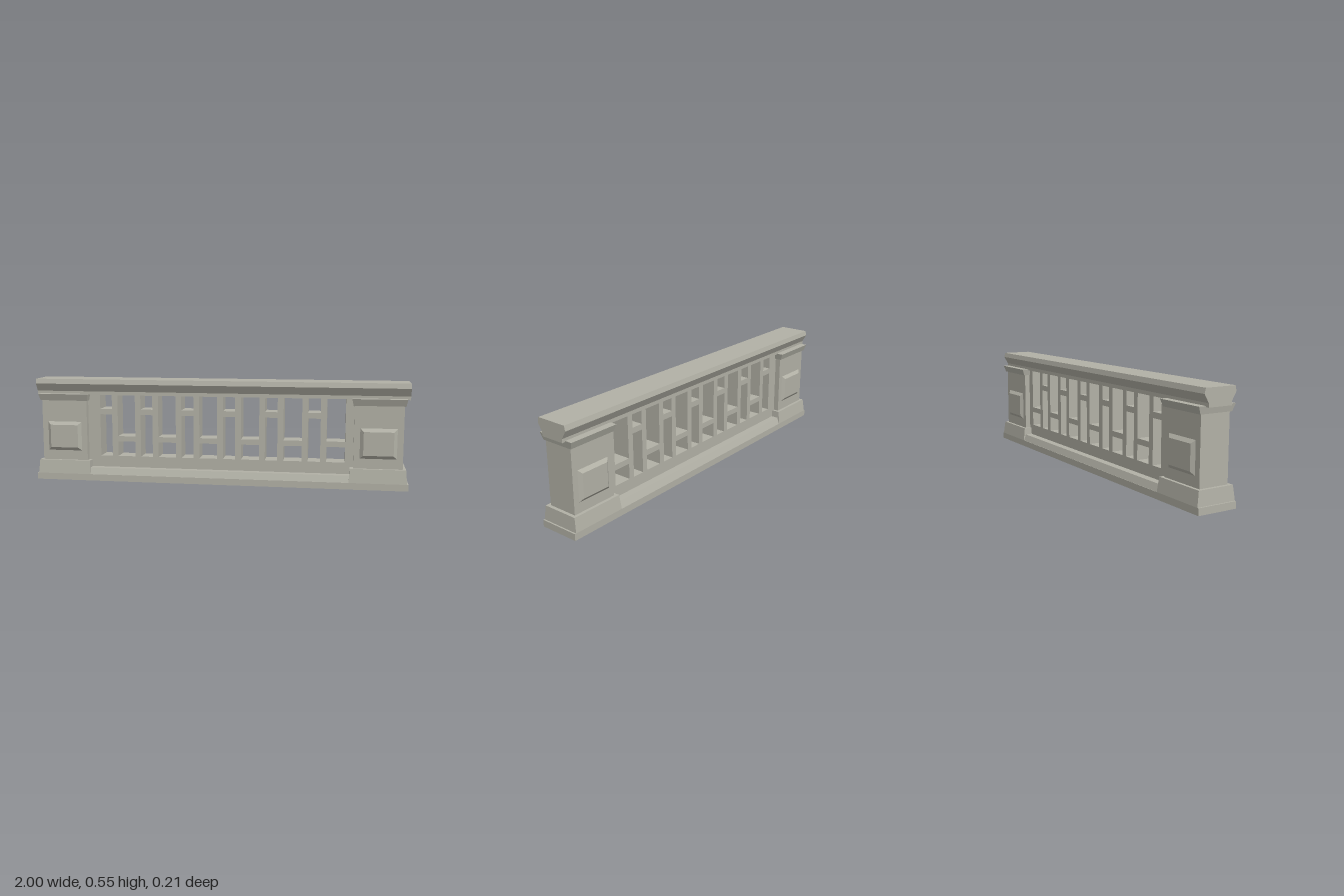
import * as THREE from 'three';

const stone = new THREE.MeshStandardMaterial({ color: 0xb2b1a6 });
stone.name = 'warm grey stone';

function part(geometry, name) {
  const mesh = new THREE.Mesh(geometry, stone);
  mesh.name = name;
  return mesh;
}

// Symmetric profile of [half depth, height] points, swept along x
function moulding(points, length, name) {
  const mirrored = points.map(([z, y]) => [-z, y]).reverse();
  const shape = new THREE.Shape([...points, ...mirrored].map(p => new THREE.Vector2(...p)));
  const geo = new THREE.ExtrudeGeometry(shape, { depth: length, bevelEnabled: false });
  geo.translate(0, 0, -length / 2).rotateY(Math.PI / 2);
  return part(geo, name);
}

// Box whose half extents change from bottom to top
function taper(x0, z0, x1, z1, y0, y1, name) {
  const geo = new THREE.BoxGeometry(2, y1 - y0, 2).toNonIndexed();
  const p = geo.attributes.position;
  for (let i = 0; i < p.count; i++) {
    const top = p.getY(i) > 0;
    p.setX(i, p.getX(i) * (top ? x1 : x0));
    p.setZ(i, p.getZ(i) * (top ? z1 : z0));
  }
  geo.translate(0, (y0 + y1) / 2, 0);
  geo.computeVertexNormals();
  return part(geo, name);
}

// Bevelled field on the front of a post
function raisedPanel(side) {
  const mesh = taper(0.097, 0.082, 0.077, 0.062, 0.078, 0.094, 'raisedPanel');
  mesh.geometry.rotateX(Math.PI / 2);
  mesh.position.y = 0.24;
  if (side < 0) mesh.rotation.y = Math.PI;
  return mesh;
}

function createPost() {
  const post = new THREE.Group();
  post.name = 'post';
  post.add(
    taper(0.148, 0.106, 0.143, 0.096, 0.035, 0.108, 'postBase'),
    taper(0.126, 0.08, 0.126, 0.08, 0.1, 0.467, 'postShaft'),
    taper(0.132, 0.088, 0.139, 0.102, 0.436, 0.472, 'postCap'),
    raisedPanel(1),
    raisedPanel(-1)
  );
  return post;
}

function rect(Type, x0, y0, x1, y1) {
  return new Type([[x0, y0], [x1, y0], [x1, y1], [x0, y1]].map(p => new THREE.Vector2(...p)));
}

// Pierced screen: alternating narrow and wide openings, each split by a crossbar
function createLattice() {
  const bottom = 0.131, top = 0.469, depth = 0.1;
  const shape = rect(THREE.Shape, -0.73, 0.06, 0.73, 0.48);
  for (let i = 0; i < 6; i++) {
    const x = -0.65 + i * 0.226;
    const openings = [
      [x, x + 0.066, 0.36, 0.39],
      [x + 0.098, x + 0.195, 0.212, 0.241]
    ];
    for (const [x0, x1, barLow, barHigh] of openings) {
      shape.holes.push(rect(THREE.Path, x0, bottom, x1, barLow));
      shape.holes.push(rect(THREE.Path, x0, barHigh, x1, top));
    }
  }
  const geo = new THREE.ExtrudeGeometry(shape, { depth, bevelEnabled: false });
  geo.translate(0, 0, -depth / 2);
  return part(geo, 'latticeScreen');
}

export function createModel() {
  const model = new THREE.Group();
  model.name = 'balustrade';

  // Continuous plinth with a sloped ledge between the posts
  model.add(moulding([[0.106, 0], [0.106, 0.035]], 2, 'plinth'));
  model.add(moulding([[0.104, 0.03], [0.104, 0.035], [0.09, 0.07]], 1.42, 'slopedLedge'));

  model.add(createLattice());

  for (const side of [-1, 1]) {
    const post = createPost();
    post.name = side > 0 ? 'leftPost' : 'rightPost';
    post.position.x = side * 0.844;
    model.add(post);
  }

  // Handrail
  model.add(moulding(
    [[0.064, 0.467], [0.064, 0.486], [0.088, 0.527], [0.082, 0.553]], 2, 'handrail'));

  return model;
}
